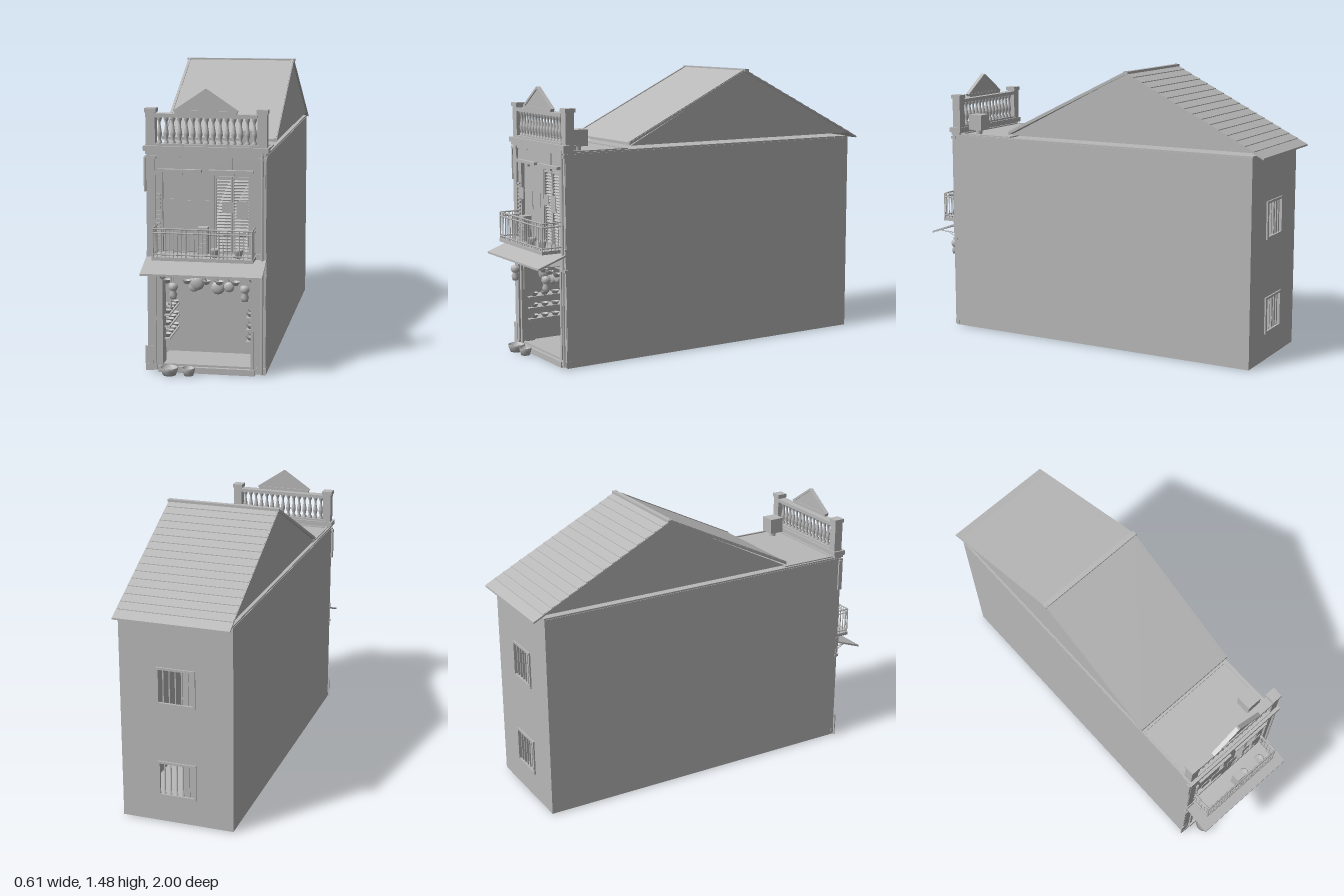
import * as THREE from 'three';

const grey = new THREE.MeshStandardMaterial({ color: 0xb8b8b8, side: THREE.DoubleSide });
grey.name = 'plaster grey';

export function createModel() {
  const house = new THREE.Group();
  house.name = 'shophouse';

  const add = (name, geo, x = 0, y = 0, z = 0) => {
    const m = new THREE.Mesh(geo, grey);
    m.name = name;
    m.position.set(x, y, z);
    house.add(m);
    return m;
  };
  // box given by its limits on each axis
  const box = (name, x0, x1, y0, y1, z0, z1) =>
    add(name, new THREE.BoxGeometry(x1 - x0, y1 - y0, z1 - z0), (x0 + x1) / 2, (y0 + y1) / 2, (z0 + z1) / 2);
  // profile in (z, y) swept along x
  const prism = (name, pts, x0, x1) => {
    const s = new THREE.Shape(pts.map(p => new THREE.Vector2(...p)));
    const g = new THREE.ExtrudeGeometry(s, { depth: x1 - x0, bevelEnabled: false });
    return add(name, g.rotateY(-Math.PI / 2), x1, 0, 0);
  };
  const rect = (Type, x0, x1, y0, y1) => new Type([[x0, y0], [x1, y0], [x1, y1], [x0, y1]].map(p => new THREE.Vector2(...p)));
  // wall in the xy plane with rectangular holes
  const wall = (name, outer, holes, z, depth) => {
    const s = rect(THREE.Shape, ...outer);
    holes.forEach(h => s.holes.push(rect(THREE.Path, ...h)));
    return add(name, new THREE.ExtrudeGeometry(s, { depth, bevelEnabled: false }), 0, 0, z);
  };
  const lathe = (name, pts, x, y, z, n = 14) =>
    add(name, new THREE.LatheGeometry(pts.map(p => new THREE.Vector2(...p)), n), x, y, z);
  const rod = (name, a, b, r) => {
    const p = new THREE.Vector3(...a), d = new THREE.Vector3(...b).sub(p);
    const m = add(name, new THREE.CylinderGeometry(r, r, d.length(), 6));
    m.position.copy(p).addScaledVector(d, 0.5);
    m.quaternion.setFromUnitVectors(new THREE.Vector3(0, 1, 0), d.normalize());
    return m;
  };

  // main hollow block
  for (const s of [-1, 1]) box('sideWall', s * 0.287 - 0.006, s * 0.287 + 0.006, 0.005, 1.08, -0.94, 0.845);
  const windows = [[-0.095, 0.095, 0.15, 0.33], [-0.095, 0.095, 0.645, 0.83]];
  wall('backWall', [-0.29, 0.29, 0.005, 1.08], windows, -0.94, 0.012);
  box('houseFloor', -0.285, 0.285, 0.005, 0.012, -0.935, 0.53);
  box('terrace', -0.29, 0.29, 1.075, 1.088, -0.94, 0.845);

  // barred back windows
  for (const [x0, x1, y0, y1] of windows) {
    wall('windowFrame', [x0 - 0.006, x1 + 0.006, y0 - 0.006, y1 + 0.006], [[x0 + 0.006, x1 - 0.006, y0 + 0.006, y1 - 0.006]], -0.948, 0.012);
    for (let i = 0; i < 5; i++) box('windowBar', x0 + 0.03 + i * 0.032, x0 + 0.036 + i * 0.032, y0, y1, -0.94, -0.934);
    box('halfShutter', x0, x0 + 0.07, y0, y1, -0.931, -0.928);
  }

  // pitched roof with gables
  for (const s of [-1, 1]) prism('gable', [[0.47, 1.105], [-0.235, 1.462], [-0.94, 1.105]], s * 0.284 - 0.003, s * 0.284 + 0.003);
  prism('frontSlope', [[0.48, 1.108], [0.48, 1.122], [-0.235, 1.472], [-0.235, 1.46]], -0.295, 0.295);
  prism('backSlope', [[-0.23, 1.46], [-0.23, 1.471], [-1, 1.084], [-1, 1.075]], -0.297, 0.297);
  for (const x of [-0.292, 0.28]) prism('slopeEdge', [[0.48, 1.12], [0.48, 1.126], [-0.235, 1.477], [-0.235, 1.47]], x, x + 0.012);
  box('ridge', -0.3, 0.3, 1.462, 1.475, -0.25, -0.225);
  for (let i = 1; i < 16; i++) {
    const z = -0.235 - i * 0.0475, y = 1.4685 - i * 0.0239;
    prism('tileCourse', [[z + 0.045, y + 0.0227], [z, y + 0.004], [z, y - 0.001]], -0.294, 0.294);
  }

  // terrace kerb and water tank
  const kerb = rect(THREE.Shape, -0.28, 0.28, -0.8, -0.48);
  kerb.holes.push(rect(THREE.Path, -0.27, 0.27, -0.79, -0.49));
  add('terraceKerb', new THREE.ExtrudeGeometry(kerb, { depth: 0.008, bevelEnabled: false }).rotateX(-Math.PI / 2), 0, 1.086, 0);
  add('tankStand', new THREE.CylinderGeometry(0.018, 0.018, 0.03, 12), 0.205, 1.1, 0.73);
  box('tank', 0.165, 0.245, 1.112, 1.195, 0.69, 0.77);

  // cornice and balustrade
  box('corniceLow', -0.295, 0.295, 1.085, 1.1, 0.8, 0.855);
  box('corniceTop', -0.305, 0.305, 1.1, 1.125, 0.79, 0.86);
  box('balustradeBase', -0.25, 0.25, 1.122, 1.135, 0.8, 0.845);
  box('balustradeRail', -0.25, 0.25, 1.262, 1.28, 0.795, 0.845);
  for (const s of [-1, 1]) {
    box('parapetPost', s * 0.272 - 0.023, s * 0.272 + 0.023, 1.122, 1.29, 0.795, 0.842);
    box('postCap', s * 0.272 - 0.028, s * 0.272 + 0.028, 1.285, 1.305, 0.79, 0.847);
  }
  const turned = [[0.012, 0], [0.012, 0.012], [0.006, 0.02], [0.013, 0.045], [0.011, 0.06], [0.006, 0.09], [0.006, 0.105], [0.012, 0.118], [0.012, 0.13]];
  for (let i = 0; i < 15; i++) lathe('baluster', turned, -0.231 + i * 0.033, 1.133, 0.82, 10);

  // triangular pediment with raised edges
  const tri = new THREE.Shape([[-0.14, 1.295], [0.14, 1.295], [0, 1.39]].map(p => new THREE.Vector2(...p)));
  add('pediment', new THREE.ExtrudeGeometry(tri, { depth: 0.012, bevelEnabled: false }), 0, 0, 0.832);
  box('pedimentBase', -0.15, 0.15, 1.28, 1.297, 0.828, 0.85);
  for (const s of [-1, 1]) {
    const m = add('pedimentEdge', new THREE.BoxGeometry(0.185, 0.012, 0.022), s * 0.077, 1.343, 0.839);
    m.rotation.z = -s * 0.59;
  }

  // facade: upper wall with two doorways, lower wall with shop opening
  wall('upperFacade', [-0.285, 0.285, 0.5, 1.09], [[-0.215, -0.035, 0.605, 1], [0.04, 0.21, 0.605, 0.985]], 0.825, 0.012);
  wall('lowerFacade', [-0.285, 0.285, 0.005, 0.505], [[-0.222, 0.222, 0.04, 0.5]], 0.825, 0.012);
  box('threshold', -0.24, 0.24, 0, 0.03, 0.83, 0.855);
  for (const s of [-1, 1]) {
    for (const [y0, y1] of [[0.01, 0.515], [0.58, 1.085]]) {
      box('pilaster', s * 0.27 - 0.02, s * 0.27 + 0.02, y0, y1, 0.83, 0.847);
      box('pilasterBase', s * 0.27 - 0.025, s * 0.27 + 0.025, y0, y0 + 0.03, 0.83, 0.852);
      box('pilasterCapital', s * 0.27 - 0.027, s * 0.27 + 0.027, y1 - 0.022, y1 - 0.008, 0.83, 0.855);
    }
  }
  box('sidePanelHigh', -0.305, -0.296, 0.9, 1.07, 0.825, 0.848);
  box('sidePanelLow', -0.305, -0.265, 0.005, 0.13, 0.845, 0.85);
  rod('drainPipe', [0.275, 0.01, 0.855], [0.275, 1.1, 0.855], 0.007);
  box('signBoard', -0.245, -0.13, 1.07, 1.082, 0.837, 0.845);
  box('ventPanel', 0.085, 0.13, 1.015, 1.08, 0.837, 0.842);

  // doors: plain pair on one side, louvred pair on the other
  box('plainDoor', -0.215, -0.035, 0.605, 1, 0.812, 0.818);
  box('doorBacking', 0.04, 0.21, 0.605, 0.985, 0.805, 0.81);
  for (const x of [-0.125, 0.125]) {
    box('doorLintel', x - 0.11, x + 0.105, 1, 1.014, 0.83, 0.86);
    box('lintelKey', x - 0.012, x + 0.012, 0.985, 1, 0.835, 0.85);
  }
  for (const x of [0.05, 0.135]) {
    wall('shutterFrame', [x - 0.006, x + 0.076, 0.605, 0.98], [[x, x + 0.07, 0.615, 0.972]], 0.822, 0.012);
    for (let i = 0; i < 24; i++) {
      const m = box('louvre', x, x + 0.07, 0.617 + i * 0.0148, 0.62 + i * 0.0148, 0.82, 0.832);
      m.rotation.x = 0.6;
    }
  }
  // washing and small panels hung above the railing
  for (const [x0, x1, y0, y1] of [[-0.21, -0.155, 0.81, 0.87], [-0.14, -0.05, 0.77, 0.865], [-0.025, 0.038, 0.79, 0.865], [0.08, 0.13, 0.81, 0.862], [0.15, 0.205, 0.78, 0.865]])
    box('hangingCloth', x0, x1, y0, y1, 0.852, 0.855);
  for (let i = 0; i < 14; i++) box('sideLadderRung', -0.247, -0.225, 0.62 + i * 0.02, 0.63 + i * 0.02, 0.837, 0.846);

  // balcony and railing
  box('balconySlab', -0.245, 0.245, 0.585, 0.602, 0.84, 0.955);
  for (const y of [0.615, 0.72, 0.74]) {
    rod('railFront', [-0.24, y, 0.95], [0.24, y, 0.95], 0.004);
    for (const s of [-1, 1]) rod('railSide', [s * 0.24, y, 0.84], [s * 0.24, y, 0.95], 0.004);
  }
  for (let i = 0; i <= 24; i++) rod('railBar', [-0.24 + i * 0.02, 0.6, 0.95], [-0.24 + i * 0.02, 0.74, 0.95], i % 8 ? 0.0022 : 0.004);
  for (const s of [-1, 1]) for (let i = 0; i < 5; i++) rod('railBar', [s * 0.24, 0.6, 0.86 + i * 0.02], [s * 0.24, 0.74, 0.86 + i * 0.02], 0.0022);
  const pot = [[0, 0], [0.014, 0], [0.022, 0.035], [0.025, 0.04], [0.02, 0.042], [0, 0.038]];
  for (const x of [0.055, 0.17]) lathe('balconyPot', pot, x, 0.602, 0.915);
  wall('airUnit', [-0.025, 0.025, 0.62, 0.75], [], 0.9, 0.045);
  for (let i = 0; i < 6; i++) box('airUnitSlat', -0.022, 0.022, 0.63 + i * 0.02, 0.636 + i * 0.02, 0.945, 0.95);

  // sloping awning with brackets
  prism('awning', [[0.845, 0.575], [0.845, 0.584], [1, 0.528], [1, 0.518]], -0.295, 0.295);
  box('awningBand', -0.295, 0.295, 0.515, 0.58, 0.835, 0.85);
  for (const x of [-0.22, 0, 0.22]) {
    rod('awningBracket', [x, 0.515, 0.845], [x, 0.52, 0.99], 0.003);
    rod('awningStrut', [x, 0.47, 0.845], [x, 0.52, 0.95], 0.003);
  }

  // shop interior
  box('shopBackWall', -0.285, 0.285, 0.005, 0.52, 0.525, 0.535);
  box('shopCeiling', -0.285, 0.285, 0.515, 0.525, 0.53, 0.83);
  box('shopFloor', -0.24, 0.27, 0.03, 0.036, 0.6, 0.835);
  box('shopCloth', -0.095, 0.035, 0.3, 0.42, 0.54, 0.544);
  const bowl = [[0, 0], [0.012, 0], [0.024, 0.018], [0.022, 0.018], [0.01, 0.004]];
  for (const s of [-1, 1]) {
    for (const y of [0.16, 0.22, 0.28]) {
      box('shelf', s * 0.235 - 0.045, s * 0.235 + 0.045, y - 0.006, y, 0.56, 0.81);
      for (let i = 0; i < 4; i++) lathe('shelfBowl', bowl, s * 0.21, y, 0.59 + i * 0.062, 10);
    }
    box('jamb', s * 0.226 - 0.008, s * 0.226 + 0.008, 0.03, 0.505, 0.77, 0.845);
  }
  rod('hangingRail', [-0.22, 0.495, 0.83], [0.22, 0.495, 0.83], 0.004);
  for (const [x, y, r] of [[-0.07, 0.425, 0.025], [-0.055, 0.445, 0.038], [0.05, 0.425, 0.034], [0.105, 0.43, 0.026]]) {
    const pan = add('hangingPan', new THREE.SphereGeometry(r, 16, 6, 0, Math.PI * 2, 0, Math.PI / 2), x, y, 0.8);
    pan.rotation.x = Math.PI / 2;
    pan.scale.y = 0.5;
    rod('panHook', [x, y + r, 0.8], [x, 0.495, 0.83], 0.002);
  }
  for (const x of [-0.2, -0.1, -0.005, 0.06, 0.14]) lathe('hangingBowl', bowl, x, 0.445, 0.82);
  // hanging lamps under the awning
  const lamp = [[0, 0], [0.014, 0], [0.02, 0.02], [0.013, 0.038], [0.018, 0.045], [0.024, 0.058], [0.02, 0.075], [0, 0.08]];
  for (const x of [-0.15, 0.2]) {
    lathe('hangingLamp', lamp, x, 0.39, 0.912);
    rod('lampCord', [x, 0.465, 0.912], [x, 0.545, 0.912], 0.002);
  }
  rod('hangingPole', [-0.175, 0.33, 0.85], [-0.175, 0.5, 0.85], 0.004);

  // tubs on the pavement
  const tub = [[0, 0], [0.032, 0], [0.042, 0.025], [0.045, 0.038], [0.04, 0.038], [0.035, 0.02], [0, 0.015]];
  lathe('tub', tub, -0.175, 0.003, 0.9, 20);
  lathe('tub', tub, -0.08, 0.003, 0.895, 20).scale.set(0.72, 1, 0.72);

  return house;
}
